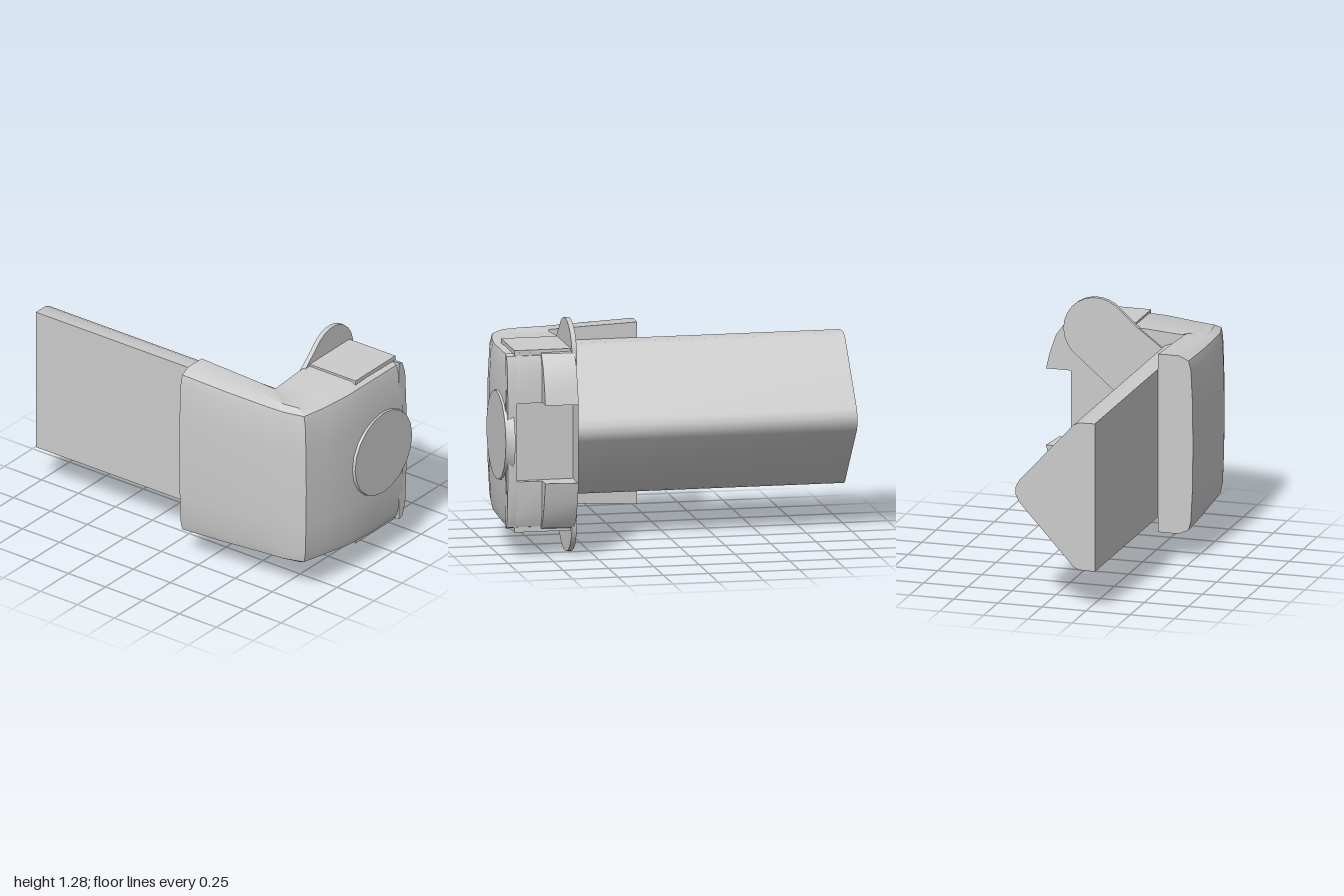
import * as THREE from 'three';
import { toCreasedNormals } from 'three/addons/utils/BufferGeometryUtils.js';

const MID = 0.645; // height of the mirror plane
const mat = new THREE.MeshStandardMaterial({ color: 0xcccccc });

function add(group, name, geometry) {
  const mesh = new THREE.Mesh(toCreasedNormals(geometry, 0.5), mat);
  mesh.name = name;
  group.add(mesh);
  return mesh;
}

// Extrude an x-y outline between two depths
function slab(points, z0, z1, curveSegments = 8) {
  const shape = Array.isArray(points)
    ? new THREE.Shape(points.map(([x, y]) => new THREE.Vector2(x, y)))
    : points;
  const g = new THREE.ExtrudeGeometry(shape, { depth: z1 - z0, bevelEnabled: false, curveSegments });
  return g.translate(0, 0, z0);
}

// Loft cross-sections that run from an inner to an outer point, with chamfered outer corners
function shellGeometry() {
  // inner x, inner z, outer x, outer z, half height
  const sections = [
    [-0.3, 0.12, -0.497, 0.12, 0.5],
    [-0.3, 0.4, -0.49, 0.4, 0.488],
    [-0.3, 0.61, -0.475, 0.65, 0.478],
    [-0.29, 0.61, -0.458, 0.8, 0.475],
    [-0.28, 0.61, -0.42, 0.92, 0.472],
    [-0.22, 0.61, -0.28, 0.952, 0.475],
    [-0.1, 0.61, -0.1, 0.982, 0.485],
    [0.1, 0.61, 0.1, 0.99, 0.491],
    [0.35, 0.61, 0.36, 0.987, 0.488],
  ];
  const pos = [], idx = [];
  let n = 0;
  for (const [ix, iz, ox, oz, h] of sections) {
    const len = Math.hypot(ox - ix, oz - iz);
    const lower = [[len, 0], [len, -h], [len - 0.08, -h], [len - 0.025, -h + 0.025],
      [len - 0.012, -h + 0.075], [len - 0.003, -h + 0.25]];
    lower[0] = [0, -h];
    lower.splice(1, 1);
    const loop = [...lower, [len, 0], ...lower.map(([d, y]) => [d, -y]).reverse()];
    n = loop.length;
    for (const [d, y] of loop) {
      pos.push(ix + (ox - ix) * d / len, MID + y, iz + (oz - iz) * d / len);
    }
  }
  const last = (sections.length - 1) * n;
  for (let i = 0; i < sections.length - 1; i++) {
    for (let j = 0; j < n; j++) {
      const a = i * n + j, b = i * n + (j + 1) % n;
      idx.push(a, a + n, b, b, a + n, b + n);
    }
  }
  for (let j = 1; j < n - 1; j++) {
    idx.push(0, j, j + 1, last, last + j + 1, last + j);
  }
  const g = new THREE.BufferGeometry();
  g.setAttribute('position', new THREE.Float32BufferAttribute(pos, 3));
  g.setIndex(idx);
  return g;
}

export function createModel() {
  const model = new THREE.Group();
  model.name = 'latchAssembly';

  // L-shaped housing with a bulged front
  add(model, 'housing', shellGeometry());

  // Long three-sided bar with blunted corners
  const half = [[0.15, 0.02], [0.13, 0.06], [-0.18, 0.4], [-0.21, 0.413], [-0.3, 0.415]];
  const bar = [...half.map(([x, y]) => [x, MID + y]).reverse(),
    ...half.map(([x, y]) => [x, MID - y])];
  add(model, 'bar', slab(bar, -1, 0.61));

  // Chevron plate: two rounded lobes swept back along the bar
  const cx = 0.205, cy = 0.455, r = 0.185;
  const tilt = 2.2;
  const arc = [];
  for (let i = 0; i <= 12; i++) {
    const a = -0.75 + (tilt + 0.75) * i / 12;
    arc.push([cx + r * Math.cos(a), cy + r * Math.sin(a)]);
  }
  const lobe = [[0.06, 0.09], ...arc, [-0.02, 0.5], [-0.22, 0.35]];
  const plate = [...lobe.map(([x, y]) => [x, MID + y]),
    ...lobe.map(([x, y]) => [x, MID - y]).reverse()];
  add(model, 'chevronPlate', slab(plate, 0.598, 0.625));

  // Low round boss on the front face
  const boss = new THREE.CylinderGeometry(0.255, 0.27, 0.05, 20).rotateX(Math.PI / 2);
  boss.scale(1, 0.95, 1).translate(0.17, 0.65, 0.972);
  add(model, 'frontBoss', boss);

  // Narrow lip along the open edge of the front face
  const lip = [[0.33, 0.48], [0.36, 0.47], [0.385, 0.4], [0.395, 0.2]];
  const lipOutline = [...lip.map(([x, y]) => [x, MID - y]),
    ...lip.map(([x, y]) => [x, MID + y]).reverse()];
  add(model, 'frontLip', slab(lipOutline, 0.93, 0.98));

  for (const s of [1, -1]) {
    const side = s > 0 ? 'upper' : 'lower';
    const mirror = (pts) => pts.map(([x, y]) => [x, MID + s * y]);

    // Raised pad on the top and bottom
    const pad = new THREE.BoxGeometry(0.355, 0.05, 0.325);
    add(model, side + 'Pad', pad.translate(0.178, MID + s * 0.475, 0.773));

    // Curved flange beside the notch, narrowing toward the front
    const flange = slab(mirror([[0.33, 0.49], [0.385, 0.48], [0.435, 0.41], [0.47, 0.31],
      [0.492, 0.215], [0.33, 0.215]]), 0.61, 0.79);
    const p = flange.attributes.position;
    for (let i = 0; i < p.count; i++) {
      if (p.getZ(i) > 0.7 && p.getX(i) > 0.34) p.setX(i, p.getX(i) - 0.018);
    }
    flange.computeVertexNormals();
    add(model, side + 'Flange', flange);

    // Side wall between the flange and the front lip
    add(model, side + 'SideWall', slab(mirror([[0.33, 0.48], [0.36, 0.47], [0.385, 0.4],
      [0.393, 0.215], [0.33, 0.215]]), 0.78, 0.935));
  }

  // Back of the notch, facing forward
  const back = new THREE.PlaneGeometry(0.142, 0.43);
  add(model, 'notchBack', back.translate(0.421, MID, 0.612));

  return model;
}
